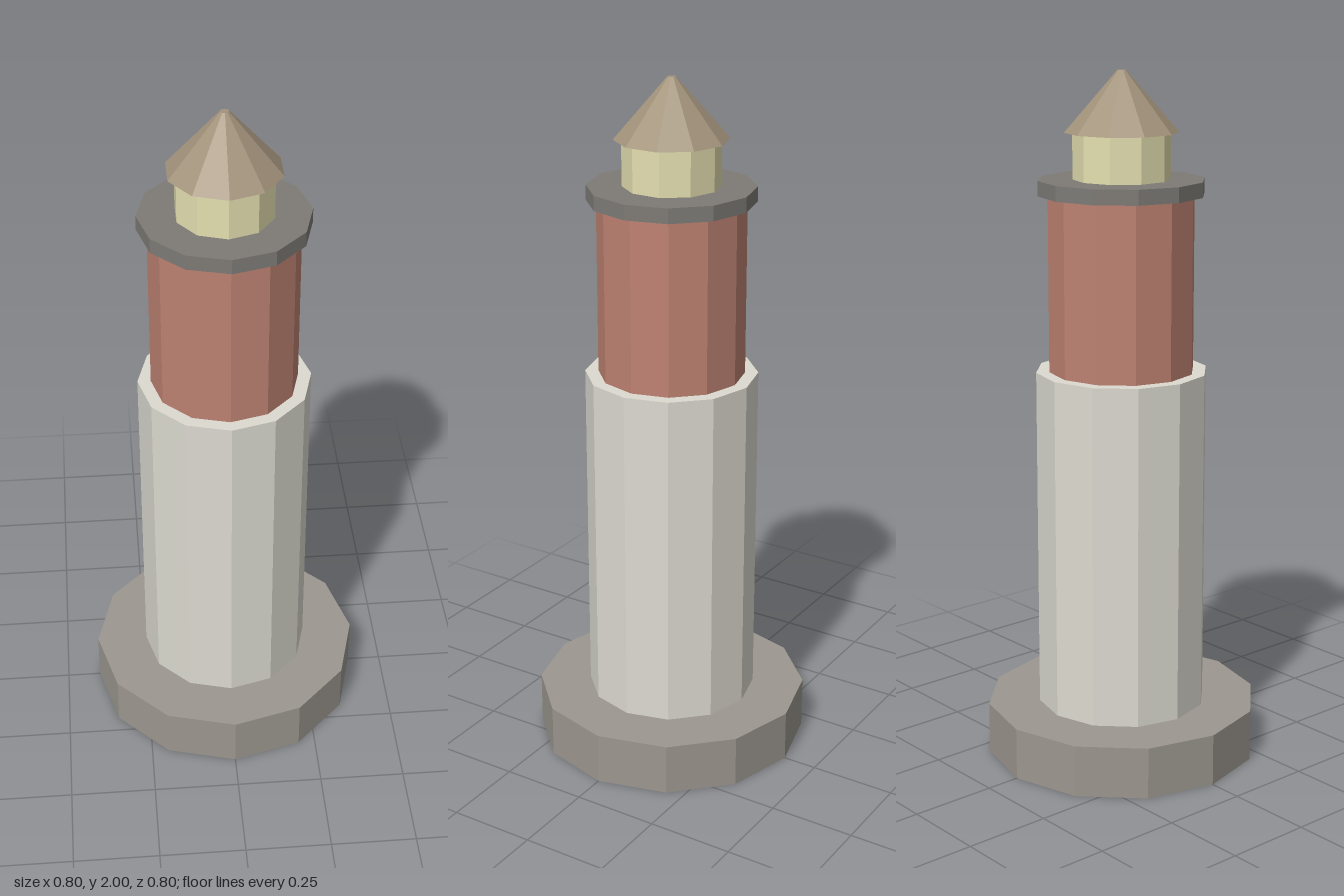
import * as THREE from 'three';

export function createModel() {
  const model = new THREE.Group();
  model.name = 'lighthouse';

  // One faceted, stacked section from y0 to y1
  const section = (name, rTop, rBottom, y0, y1, sides, color) => {
    const mat = new THREE.MeshStandardMaterial({ color, flatShading: true });
    const mesh = new THREE.Mesh(new THREE.CylinderGeometry(rTop, rBottom, y1 - y0, sides), mat);
    mesh.position.y = (y0 + y1) / 2;
    mesh.name = name;
    model.add(mesh);
  };

  // Twelve-sided masonry
  section('base', 0.4, 0.4, 0, 0.152, 12, 0x9c978f);
  section('lowerTower', 0.248, 0.248, 0.152, 1.153, 12, 0xdcdad0);
  section('upperTower', 0.21, 0.21, 1.153, 1.656, 12, 0xbe8272);
  section('gallery', 0.238, 0.238, 1.656, 1.699, 12, 0x7e7b76);

  // Ten-sided lantern room and blunt-tipped roof
  section('lantern', 0.138, 0.138, 1.699, 1.829, 10, 0xe4dfb0);
  section('roof', 0.012, 0.161, 1.829, 2, 10, 0xa3937b);

  return model;
}
